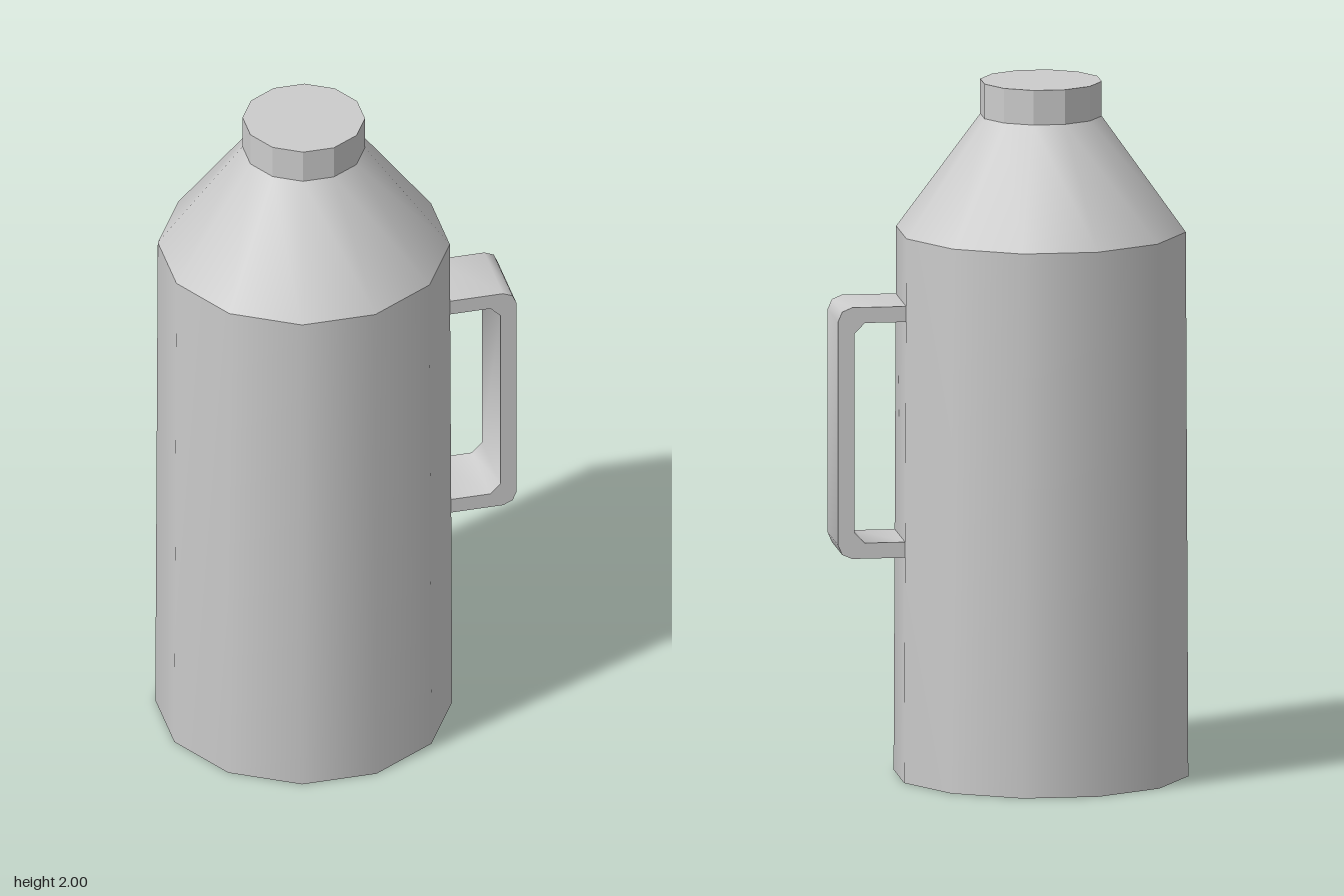
import * as THREE from 'three';
import { toCreasedNormals } from 'three/addons/utils/BufferGeometryUtils.js';

const SIDES = 12;
const START = THREE.MathUtils.degToRad(76.5); // turn of the twelve-sided body
const HANDLE_TURN = THREE.MathUtils.degToRad(31.5); // middle of the facet carrying the handle

const material = new THREE.MeshStandardMaterial({ color: 0xcccccc });
const flatMaterial = new THREE.MeshStandardMaterial({ color: 0xcccccc, flatShading: true });

function addMesh(parent, name, geometry, mat = material) {
  const mesh = new THREE.Mesh(geometry, mat);
  mesh.name = name;
  parent.add(mesh);
  return mesh;
}

function lathe(profile) {
  const points = profile.map(([r, y]) => new THREE.Vector2(r, y));
  return new THREE.LatheGeometry(points, SIDES, START);
}

// Closed handle side profile: u points away from the body, y is up
function handleGeometry() {
  const root = 0.40, outer = 0.597, inner = 0.55;
  const low = 0.65, high = 1.375, bar = 0.045, cut = 0.04, innerCut = 0.03;
  const shape = new THREE.Shape([
    [root, low], [outer - cut, low], [outer - cut * 0.3, low + cut * 0.3], [outer, low + cut],
    [outer, high - cut], [outer - cut * 0.3, high - cut * 0.3], [outer - cut, high], [root, high],
    [root, high - bar], [inner - innerCut, high - bar], [inner, high - bar - innerCut],
    [inner, low + bar + innerCut], [inner - innerCut, low + bar], [root, low + bar],
  ].map(([u, y]) => new THREE.Vector2(u, y)));
  const width = 0.216;
  const geometry = new THREE.ExtrudeGeometry(shape, { depth: width, bevelEnabled: false });
  geometry.translate(0, 0, -width / 2);
  return toCreasedNormals(geometry, 1.0);
}

export function createModel() {
  const model = new THREE.Group();
  model.name = 'jug';

  const bottle = new THREE.Group();
  bottle.name = 'bottle';
  bottle.position.x = -0.08;
  model.add(bottle);

  // Body with a shallow recess under the base
  addMesh(bottle, 'body', lathe([[0, 0.02], [0.36, 0.02], [0.39, 0], [0.422, 0], [0.415, 1.57]]));

  // Sloping shoulder
  addMesh(bottle, 'shoulder', lathe([[0.415, 1.57], [0.174, 1.9]]));

  // Faceted cap
  const cap = addMesh(bottle, 'cap',
    new THREE.CylinderGeometry(0.174, 0.174, 0.1, SIDES, 1, false, START), flatMaterial);
  cap.position.y = 1.95;

  // Handle on one facet, as wide as that facet
  const handle = addMesh(bottle, 'handle', handleGeometry());
  handle.rotation.y = HANDLE_TURN;

  return model;
}
